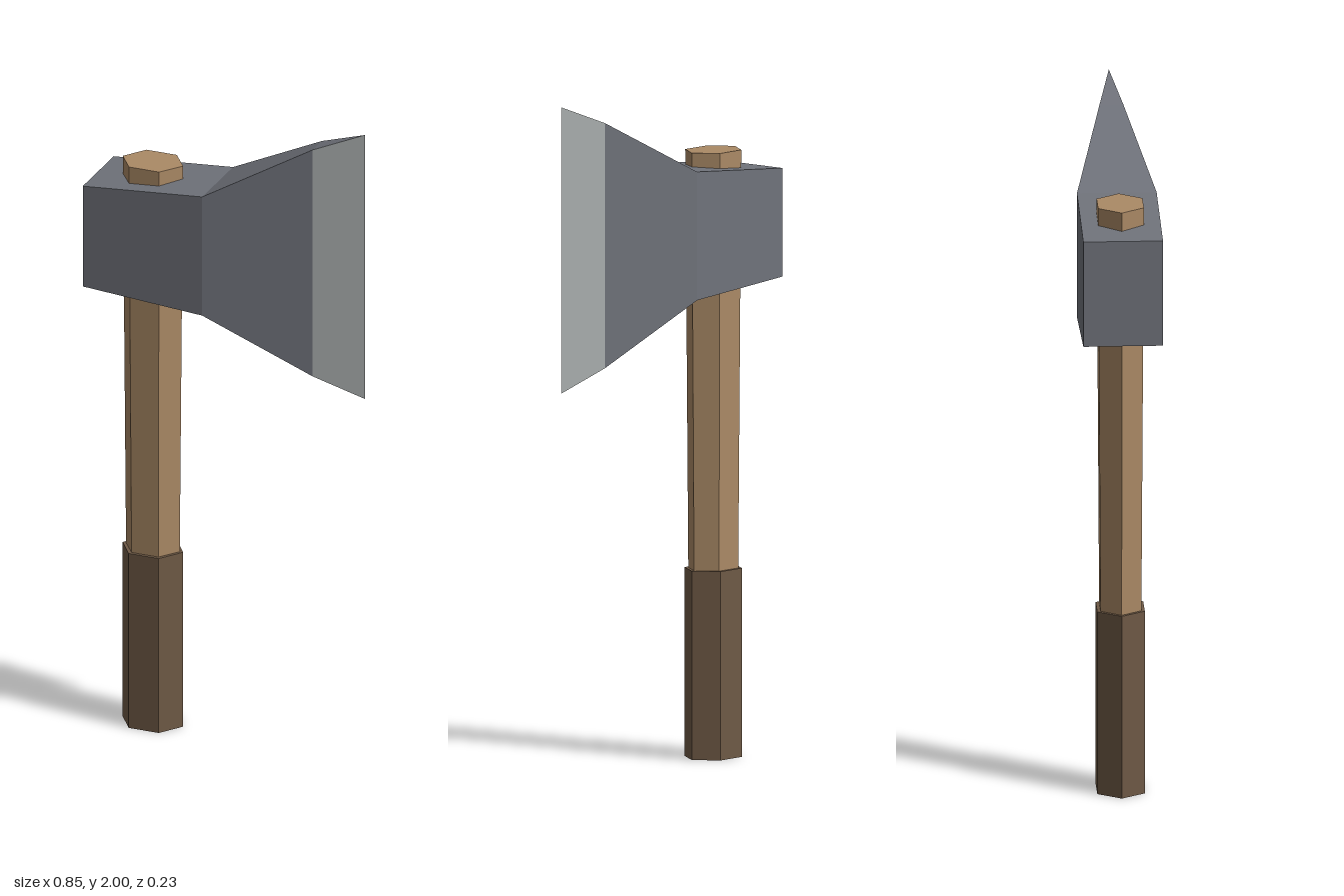
import * as THREE from 'three';

const paint = (name, color) => {
  const m = new THREE.MeshStandardMaterial({ color });
  m.name = name;
  m.flatShading = true;
  return m;
};

export function createModel() {
  const axe = new THREE.Group();
  axe.name = 'axe';
  const wood = paint('wood', 0xab8a66);
  const grip = paint('dark grip', 0x6f5a46);
  const steel = paint('steel', 0x70737b);
  const edge = paint('sharpened edge', 0xabb0af);

  const add = (name, geometry, material) => {
    const mesh = new THREE.Mesh(geometry, material);
    mesh.name = name;
    axe.add(mesh);
    return mesh;
  };

  // Flattened six-sided shaft with corners pointing along x
  const shaft = (name, rTop, rBottom, y0, y1, depth, material) => {
    const g = new THREE.CylinderGeometry(rTop, rBottom, y1 - y0, 6, 1, false, Math.PI / 6);
    g.scale(1, 1, depth);
    g.translate(-0.251, (y0 + y1) / 2, 0);
    add(name, g, material);
  };
  shaft('handle', 0.096, 0.085, 0.5, 1.8, 0.81, wood);
  shaft('handleGrip', 0.096, 0.096, 0, 0.56, 0.84, grip);

  // Head cross-sections, poll to cutting edge: x, bottom, top, half thickness
  const sections = [
    [-0.425, 1.415, 1.737, 0.117],
    [-0.045, 1.387, 1.768, 0.117],
    [0.272, 1.213, 1.94, 0.035],
    [0.425, 1.152, 2.0, 0],
  ];
  const steelFaces = [];
  const edgeFaces = [];
  const quad = (list, a, b, c, d) => list.push(...a, ...b, ...c, ...a, ...c, ...d);
  const corners = ([x, lo, hi, z]) => [[x, lo, z], [x, hi, z], [x, hi, -z], [x, lo, -z]];

  for (let i = 0; i < 3; i++) {
    const a = corners(sections[i]);
    const b = corners(sections[i + 1]);
    const cheeks = i === 2 ? edgeFaces : steelFaces;
    quad(cheeks, a[0], b[0], b[1], a[1]);
    quad(cheeks, b[3], a[3], a[2], b[2]);
    quad(steelFaces, a[1], b[1], b[2], a[2]);
    quad(steelFaces, a[3], b[3], b[0], a[0]);
  }
  const poll = corners(sections[0]);
  quad(steelFaces, poll[0], poll[1], poll[2], poll[3]);

  const fromFaces = (list) => {
    const g = new THREE.BufferGeometry();
    g.setAttribute('position', new THREE.Float32BufferAttribute(list, 3));
    g.computeVertexNormals();
    return g;
  };
  add('axeHead', fromFaces(steelFaces), steel);
  add('cuttingEdge', fromFaces(edgeFaces), edge);

  return axe;
}
